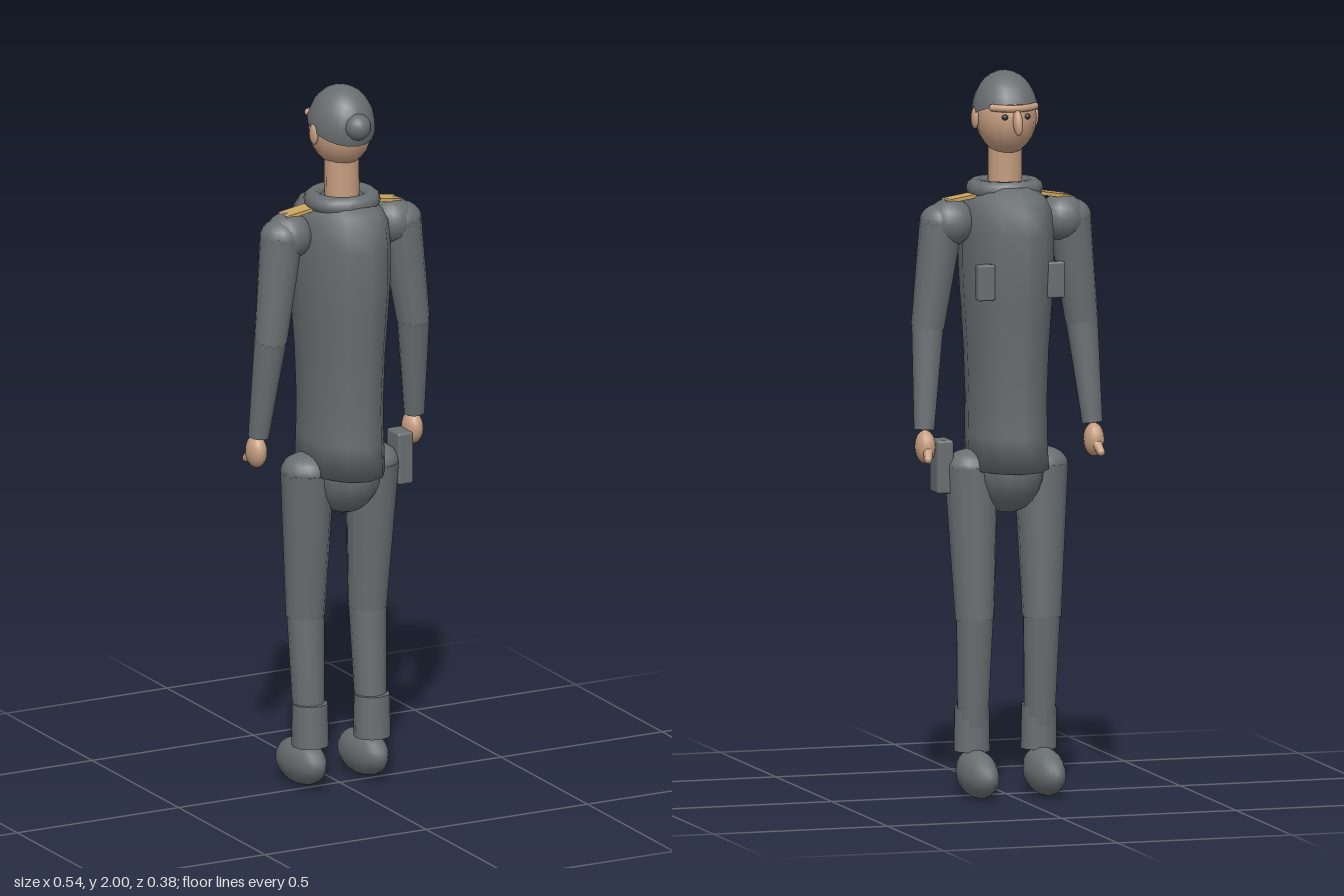
import * as THREE from 'three';
import { RoundedBoxGeometry } from 'three/addons/geometries/RoundedBoxGeometry.js';

const cloth = new THREE.MeshStandardMaterial({ color: 0x696e71 });
cloth.name = 'uniformGrey';
cloth.side = THREE.DoubleSide;
const skin = new THREE.MeshStandardMaterial({ color: 0xc59d80 });
skin.name = 'skin';
const gold = new THREE.MeshStandardMaterial({ color: 0xc8a460 });
gold.name = 'gold';
const dark = new THREE.MeshStandardMaterial({ color: 0x3a3532 });
dark.name = 'eyeDark';

const V = (x, y, z) => new THREE.Vector3(x, y, z);

export function createModel() {
  const model = new THREE.Group();
  model.name = 'uniformedFigure';

  const add = (name, geo, mat, x = 0, y = 0, z = 0) => {
    const mesh = new THREE.Mesh(geo, mat);
    mesh.name = name;
    mesh.position.set(x, y, z);
    model.add(mesh);
    return mesh;
  };
  const ball = (name, mat, x, y, z, rx, ry = rx, rz = rx) => {
    const mesh = add(name, new THREE.SphereGeometry(1, 16, 12), mat, x, y, z);
    mesh.scale.set(rx, ry, rz);
    return mesh;
  };
  // Tapered tube between two points, r0 at the start and r1 at the end
  const limb = (name, mat, a, b, r0, r1) => {
    const dir = b.clone().sub(a);
    const mesh = add(name, new THREE.CylinderGeometry(r1, r0, dir.length(), 12), mat);
    mesh.position.copy(a).add(b).multiplyScalar(0.5);
    mesh.quaternion.setFromUnitVectors(V(0, 1, 0), dir.normalize());
    return mesh;
  };

  // Jacket: lathe around y, narrower in x than in z
  const profile = [
    [0.001, 0.905], [0.168, 0.905], [0.163, 1.0], [0.161, 1.1], [0.168, 1.24], [0.18, 1.36],
    [0.188, 1.46], [0.188, 1.56], [0.18, 1.62], [0.155, 1.655], [0.1, 1.685], [0.001, 1.69],
  ].map(([r, y]) => new THREE.Vector2(r, y));
  const jacket = add('jacket', new THREE.LatheGeometry(profile, 12), cloth);
  jacket.scale.x = 0.66;
  ball('pelvis', cloth, 0, 0.91, 0, 0.1, 0.13, 0.152);

  // Collar, neck and head
  const collar = add('collar', new THREE.TorusGeometry(0.08, 0.026, 10, 20), cloth, 0, 1.675, 0.013);
  collar.rotation.x = Math.PI / 2;
  limb('neck', skin, V(0, 1.66, 0.012), V(0, 1.83, 0.01), 0.048, 0.048);
  ball('head', skin, 0, 1.872, 0, 0.082, 0.103, 0.102);
  const nose = ball('nose', skin, 0, 1.868, -0.108, 0.013, 0.036, 0.018);
  nose.rotation.x = 0.25;

  // Brow visor: a short arc around the front of the head
  const arc = [];
  for (let i = -4; i <= 4; i++) {
    const t = (i / 4) * 0.82;
    arc.push(V(0.083 * Math.sin(t), 1.912 - 0.006 * Math.cos(t), -0.014 - 0.083 * Math.cos(t)));
  }
  add('browVisor', new THREE.TubeGeometry(new THREE.CatmullRomCurve3(arc), 16, 0.01, 8), skin);
  for (const end of [arc[0], arc[8]]) ball('browVisorEnd', skin, end.x, end.y, end.z, 0.01);

  // Cap tipped back, with a knob at the rear
  const cap = add('cap', new THREE.SphereGeometry(1, 20, 8, 0, Math.PI * 2, 0, Math.PI / 2), cloth, 0, 1.883, 0.006);
  cap.scale.set(0.09, 0.117, 0.107);
  cap.rotation.x = 0.33;
  ball('capKnob', cloth, 0, 1.903, 0.104, 0.037);

  for (const s of [-1, 1]) {
    ball('ear', skin, s * 0.086, 1.87, 0.01, 0.01, 0.03, 0.019);
    ball('eye', dark, s * 0.032, 1.883, -0.092, 0.009, 0.008, 0.007);

    // Arm
    const elbow = V(s * 0.221, 1.3, 0.012);
    const wrist = V(s * 0.241, 1.02, -0.02);
    ball('shoulder', cloth, s * 0.16, 1.588, 0, 0.066);
    limb('upperArm', cloth, V(s * 0.184, 1.59, 0.005), elbow, 0.06, 0.046);
    ball('upperArmCap', cloth, s * 0.184, 1.59, 0.005, 0.06, 0.05, 0.06);
    ball('elbow', cloth, elbow.x, elbow.y, elbow.z, 0.045);
    limb('forearm', cloth, elbow, wrist, 0.045, 0.029);
    ball('hand', skin, s * 0.242, 0.975, -0.032, 0.028, 0.046, 0.038);
    limb('thumb', skin, V(s * 0.24, 0.975, -0.05), V(s * 0.248, 0.945, -0.078), 0.015, 0.011);
    ball('thumbTip', skin, s * 0.248, 0.945, -0.078, 0.011);

    // Epaulette and chest pocket
    const strap = add('epaulette', new THREE.BoxGeometry(0.09, 0.01, 0.05), gold, s * 0.133, 1.653, 0);
    strap.rotation.z = -s * 0.16;
    add('chestPocket', new RoundedBoxGeometry(0.05, 0.1, 0.03, 2, 0.006), cloth, s * 0.1, 1.435, -0.128);

    // Leg
    const hip = V(s * 0.1, 0.91, 0);
    const knee = V(s * 0.096, 0.49, -0.02);
    ball('hip', cloth, hip.x, hip.y, hip.z, 0.075, 0.05, 0.073);
    limb('thigh', cloth, hip, knee, 0.075, 0.054);
    limb('calf', cloth, V(s * 0.096, 0.5, -0.02), V(s * 0.096, 0.13, 0.004), 0.052, 0.041);
    limb('bootCuff', cloth, V(s * 0.096, 0.125, 0.008), V(s * 0.096, 0.245, 0.006), 0.051, 0.049);
    const foot = ball('foot', cloth, s * 0.096, 0.067, -0.044, 0.051, 0.065, 0.117);
    foot.rotation.x = -0.08;
  }

  // Belt pouch on one hip
  add('hipPouch', new RoundedBoxGeometry(0.048, 0.148, 0.072, 2, 0.008), cloth, 0.18, 0.914, 0.013);

  return model;
}
